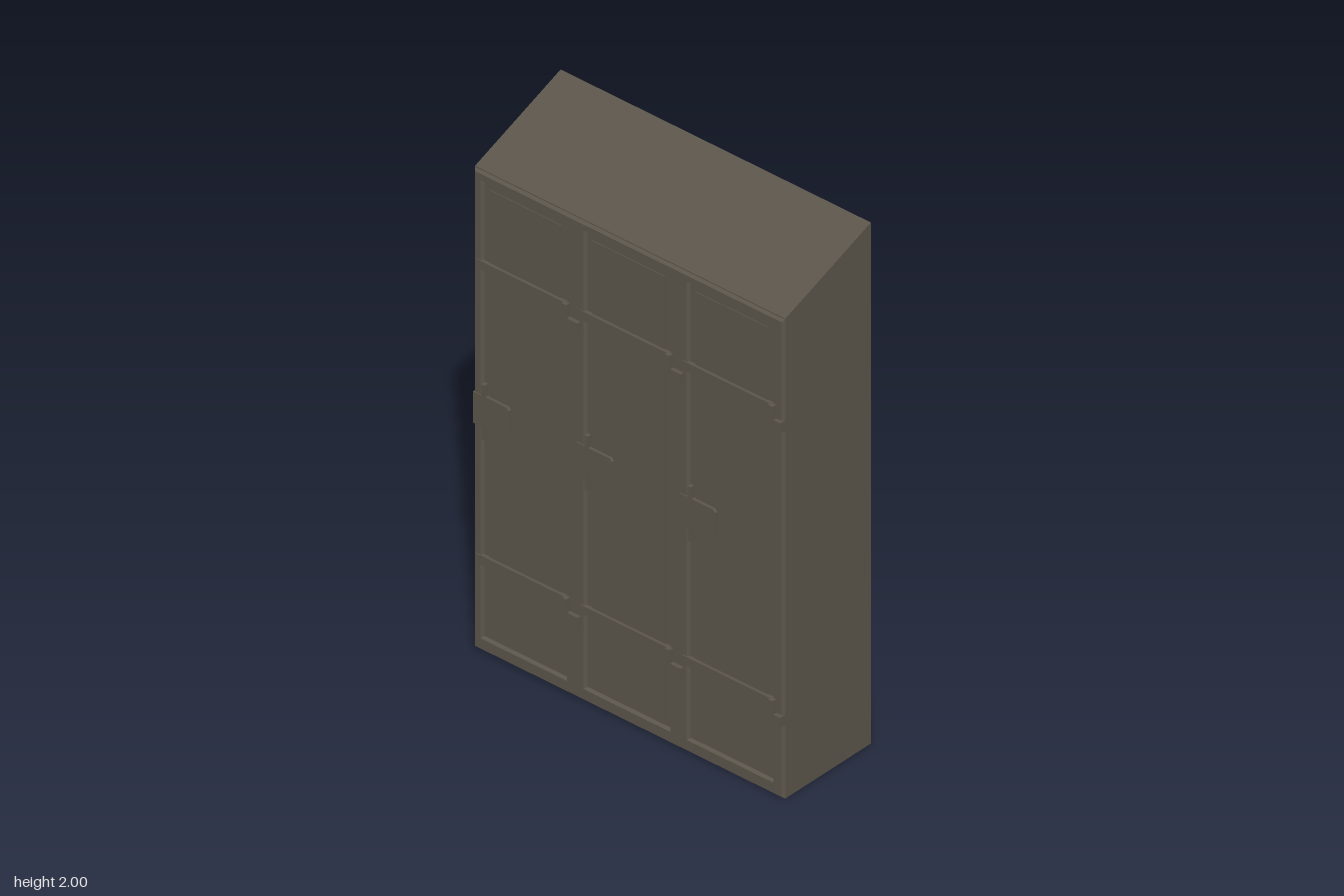
import * as THREE from 'three';

const material = new THREE.MeshStandardMaterial({ color: 0x5c554b, flatShading: true });

const W = 0.654, BACK = -0.22, FRONT = 0.202, RECESS = 0.01;
const PITCH = 0.435, DOOR_W = 0.35, DOOR_BOTTOM = 0.055, DOOR_TOP = 1.8;

function add(parent, name, geometry) {
  const mesh = new THREE.Mesh(geometry, material);
  mesh.name = name;
  parent.add(mesh);
  return mesh;
}

// Box given by its limits on each axis
function box(parent, name, x0, x1, y0, y1, z0, z1) {
  const mesh = add(parent, name, new THREE.BoxGeometry(x1 - x0, y1 - y0, z1 - z0));
  mesh.position.set((x0 + x1) / 2, (y0 + y1) / 2, (z0 + z1) / 2);
  return mesh;
}

const polygon = (pts) => new THREE.Shape(pts.map(([x, y]) => new THREE.Vector2(x, y)));
const rectangle = (x0, x1, y0, y1) => polygon([[x0, y0], [x1, y0], [x1, y1], [x0, y1]]);

export function createModel() {
  const model = new THREE.Group();
  model.name = 'lockerCabinet';

  // Cabinet body: side profile with a sloping top, swept across the width
  const z = FRONT - RECESS;
  const profile = polygon([[-z, 0], [-BACK, 0], [-BACK, 2], [-z, 1.842]]);
  const bodyGeometry = new THREE.ExtrudeGeometry(profile, { depth: 2 * W, bevelEnabled: false });
  bodyGeometry.rotateY(Math.PI / 2).translate(-W, 0, 0);
  add(model, 'cabinetBody', bodyGeometry);

  // Front frame with chamfered openings for the three doors
  const bevel = 0.008;
  const frame = rectangle(-W + bevel, W - bevel, bevel, 1.838 - bevel);
  const lefts = [0, 1, 2].map((i) => -0.615 + i * PITCH);
  for (const x of lefts) {
    frame.holes.push(rectangle(x - bevel, x + DOOR_W + bevel, DOOR_BOTTOM - bevel, DOOR_TOP + bevel));
  }
  const frameGeometry = new THREE.ExtrudeGeometry(frame, {
    depth: 0.01, bevelThickness: RECESS, bevelSize: bevel, bevelSegments: 1,
  });
  frameGeometry.translate(0, 0, FRONT - 0.01 - RECESS);
  add(model, 'frontFrame', frameGeometry);

  // Lock plate outline with cut corners on the door side
  const lockShape = polygon([
    [-0.035, 0.865], [0.105, 0.865], [0.115, 0.875],
    [0.115, 0.975], [0.105, 0.985], [-0.035, 0.985],
  ]);

  lefts.forEach((x, i) => {
    const door = new THREE.Group();
    door.name = `door${i + 1}`;
    door.position.x = x;
    model.add(door);

    // Shallow raised door leaf inside the opening
    box(door, 'doorPanel', 0.022, DOOR_W - 0.022, DOOR_BOTTOM + 0.022, DOOR_TOP - 0.022, z - 0.01, z + 0.003);

    // Straps with hinges at the upper and lower heights
    for (const y of [1.482, 0.352]) {
      const strap = box(door, 'hingeStrap', -0.023, 0.362, y - 0.017, y + 0.017, z - 0.005, FRONT + 0.004);
      strap.name = y > 1 ? 'upperStrap' : 'lowerStrap';
      box(door, 'hingeKnuckle', 0.35, 0.37, y - 0.045, y + 0.022, z, FRONT + 0.018);
      box(door, 'hingePlate', 0.358, Math.min(0.415, W - x), y - 0.07, y - 0.03, z, FRONT + 0.015);
    }

    // Lock plate and its vertical bolt
    const plate = new THREE.ExtrudeGeometry(lockShape, { depth: 0.014, bevelEnabled: false });
    add(door, 'lockPlate', plate).position.z = FRONT - 0.01;
    box(door, 'lockBolt', 0.002, 0.016, 0.82, 1.03, z - 0.005, FRONT + 0.007);
  });

  return model;
}
